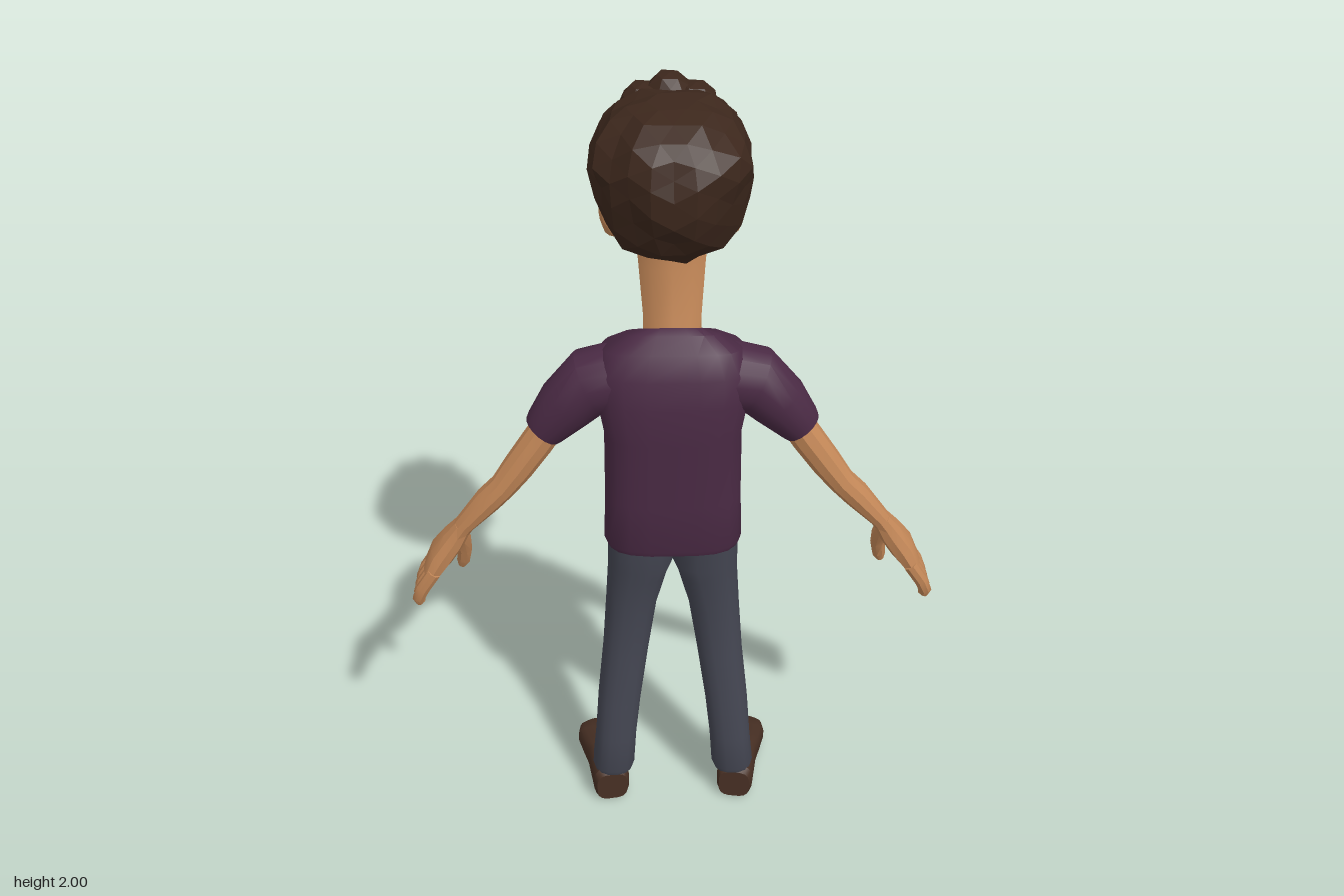
import * as THREE from 'three';
import { toCreasedNormals } from 'three/addons/utils/BufferGeometryUtils.js';

const mat = (name, color) => {
  const m = new THREE.MeshStandardMaterial({ color });
  m.name = name;
  return m;
};

// Skin over rounded sections; rows are [x, y, z, halfU, halfV, tilt].
// follow = true turns the sections to follow the path in the xy plane.
function loft(rows, { sides = 12, power = 2, follow = false, crease = 0.7 } = {}) {
  const pos = [], idx = [], n = rows.length;
  const curve = v => Math.sign(v) * Math.pow(Math.abs(v), 2 / power);
  rows.forEach(([x, y, z, a, b, tilt = 0], i) => {
    const p = rows[Math.max(i - 1, 0)], q = rows[Math.min(i + 1, n - 1)];
    let tx = 0, ty = 1;
    if (follow) {
      const len = Math.hypot(q[0] - p[0], q[1] - p[1]);
      tx = (q[0] - p[0]) / len;
      ty = (q[1] - p[1]) / len;
    }
    for (let j = 0; j < sides; j++) {
      const ang = ((j + 0.5) / sides) * Math.PI * 2;
      const u = a * curve(Math.cos(ang)), v = b * curve(Math.sin(ang));
      pos.push(x + u * ty, y - u * tx + v * tilt, z + v);
    }
  });
  for (let i = 0; i < n - 1; i++) for (let j = 0; j < sides; j++) {
    const k = (j + 1) % sides, a = i * sides + j, b = i * sides + k;
    idx.push(a, a + sides, b, b, a + sides, b + sides);
  }
  const s = n * sides, last = (n - 1) * sides;
  pos.push(...rows[0].slice(0, 3), ...rows[n - 1].slice(0, 3));
  for (let j = 0; j < sides; j++) {
    const k = (j + 1) % sides;
    idx.push(s, j, k, s + 1, last + k, last + j);
  }
  const g = new THREE.BufferGeometry();
  g.setAttribute('position', new THREE.Float32BufferAttribute(pos, 3));
  g.setIndex(idx);
  return toCreasedNormals(g, crease);
}

// Faceted lump with a repeatable roughness
function lump(detail, rough, shape) {
  const g = new THREE.IcosahedronGeometry(1, detail);
  const p = g.attributes.position, d = new THREE.Vector3();
  for (let i = 0; i < p.count; i++) {
    d.fromBufferAttribute(p, i).normalize();
    const k = 1 + rough * Math.sin(d.x * 11 + d.y * 7) * Math.sin(d.y * 9 - d.z * 12 + 1);
    shape(d, k);
    p.setXYZ(i, d.x, d.y, d.z);
  }
  g.computeVertexNormals();
  return g;
}

// Lower edge of the hair: fringe, temple, then nape behind the ear
function hairline(z) {
  const pts = [[-1, 1.87], [-0.1, 1.87], [0.02, 1.78], [0.08, 1.62], [1, 1.62]];
  for (let i = 1; i < pts.length; i++) {
    const [z0, y0] = pts[i - 1], [z1, y1] = pts[i];
    if (z <= z1) return y0 + ((y1 - y0) * (z - z0)) / (z1 - z0);
  }
  return 1.62;
}

export function createModel() {
  const skin = mat('skin', 0xc48858), shirt = mat('shirt purple', 0x4a2a44);
  const denim = mat('trouser grey', 0x444652), leather = mat('shoe brown', 0x483024);
  const hairMat = mat('hair brown', 0x3c271c), white = mat('eye white', 0xdcdcdc);
  const lip = mat('mouth dark', 0x54301f);

  const model = new THREE.Group();
  model.name = 'standingMan';
  const add = (parent, name, geo, material) => {
    const m = new THREE.Mesh(geo, material);
    m.name = name;
    parent.add(m);
    return m;
  };

  // Shirt body with a neckline that drops at the front
  add(model, 'shirtBody', loft([
    [0, 0.87, 0.094, 0.168, 0.114], [0, 0.885, 0.094, 0.175, 0.119], [0, 1.02, 0.095, 0.17, 0.119],
    [0, 1.2, 0.096, 0.168, 0.121], [0, 1.3, 0.096, 0.185, 0.122], [0, 1.37, 0.092, 0.19, 0.11],
    [0, 1.41, 0.085, 0.165, 0.095, 0.2], [0, 1.435, 0.072, 0.115, 0.078, 0.4],
    [0, 1.437, 0.062, 0.082, 0.066, 0.6],
  ], { sides: 20, power: 3.4 }), shirt);

  // Neck and long head
  add(model, 'neck', loft([
    [0, 1.36, 0.075, 0.075, 0.07], [0, 1.48, 0.06, 0.072, 0.06], [0, 1.6, 0.028, 0.082, 0.062],
    [0, 1.7, 0.02, 0.09, 0.07],
  ], { sides: 10 }), skin);
  add(model, 'head', loft([
    [0, 1.5, -0.095, 0.042, 0.045], [0, 1.525, -0.085, 0.058, 0.066], [0, 1.575, -0.06, 0.075, 0.094],
    [0, 1.605, -0.055, 0.085, 0.112], [0, 1.65, -0.035, 0.098, 0.118], [0, 1.72, -0.01, 0.115, 0.138],
    [0, 1.79, -0.005, 0.115, 0.138], [0, 1.835, -0.005, 0.12, 0.155], [0, 1.9, 0, 0.115, 0.145],
    [0, 1.94, 0.01, 0.08, 0.1],
  ], { sides: 14, power: 2.4, crease: 0.35 }), skin);
  add(model, 'nose', loft([
    [0, 1.652, -0.185, 0.026, 0.046], [0, 1.668, -0.183, 0.026, 0.046],
    [0, 1.72, -0.165, 0.022, 0.036], [0, 1.81, -0.142, 0.016, 0.014],
  ], { sides: 8, power: 3, crease: 0.3 }), skin);

  // Hair cap and curls along the fringe
  add(model, 'hair', lump(3, 0.06, (d, k) => {
    const e = d.y > 0 ? 2.5 : 2.1;
    const r = k / Math.pow(Math.abs(d.x) ** e + Math.abs(d.y) ** e + Math.abs(d.z) ** e, 1 / e);
    d.set(d.x * r * 0.182, 1.83 + d.y * r * (d.y > 0 ? 0.16 : 0.21), 0.03 + d.z * r * 0.195);
    d.y = Math.max(d.y, hairline(d.z));
  }), hairMat);
  [[0, 1.945, -0.125, 0.055], [0.06, 1.925, -0.115, 0.055], [-0.06, 1.925, -0.115, 0.055],
    [0.11, 1.89, -0.07, 0.052], [-0.11, 1.89, -0.07, 0.052], [0.13, 1.83, -0.015, 0.042],
    [-0.13, 1.83, -0.015, 0.042]].forEach(([x, y, z, r]) => {
    add(model, 'curl', lump(1, 0.12, (d, k) => d.multiplyScalar(r * k)), hairMat).position.set(x, y, z);
  });

  for (const side of [1, -1]) {
    const half = new THREE.Group();
    half.name = side > 0 ? 'leftSide' : 'rightSide';
    half.scale.x = side;
    model.add(half);

    // Face details
    add(half, 'eye', new THREE.SphereGeometry(0.034, 20, 14), white).position.set(0.066, 1.77, -0.126);
    const brow = add(half, 'brow', new THREE.BoxGeometry(0.07, 0.018, 0.03), skin);
    brow.position.set(0.062, 1.822, -0.137);
    brow.rotation.set(0, -0.35, -0.12);
    const mouth = add(half, 'mouth', new THREE.BoxGeometry(0.034, 0.007, 0.009), lip);
    mouth.position.set(0.016, 1.6, -0.163);
    mouth.rotation.set(0, -0.14, -0.2);
    const ear = add(half, 'ear', lump(2, 0.06, (d, k) => d.multiplyScalar(k)), skin);
    ear.scale.set(0.024, 0.055, 0.036);
    ear.position.set(0.14, 1.715, 0.02);
    ear.rotation.set(0.15, 0.3, -0.2);

    // Sleeve and arm
    add(half, 'sleeve', loft([
      [0.11, 1.335, 0.1, 0.09, 0.09], [0.2, 1.325, 0.112, 0.085, 0.08], [0.255, 1.27, 0.12, 0.073, 0.064],
      [0.305, 1.21, 0.12, 0.056, 0.051], [0.316, 1.197, 0.12, 0.05, 0.047],
    ], { sides: 16, follow: true }), shirt);
    add(half, 'arm', loft([
      [0.28, 1.24, 0.12, 0.04, 0.042], [0.33, 1.165, 0.122, 0.041, 0.042], [0.38, 1.095, 0.127, 0.039, 0.04],
      [0.42, 1.04, 0.128, 0.034, 0.038], [0.46, 0.997, 0.125, 0.034, 0.04], [0.525, 0.92, 0.12, 0.025, 0.033],
      [0.545, 0.89, 0.115, 0.025, 0.036],
    ], { sides: 10, follow: true, crease: 0.4 }), skin);

    // Hand: palm, four fingers and thumb
    add(half, 'palm', loft([
      [0.53, 0.915, 0.118, 0.023, 0.032], [0.557, 0.87, 0.106, 0.03, 0.046], [0.592, 0.82, 0.1, 0.032, 0.059],
      [0.622, 0.77, 0.1, 0.023, 0.062],
    ], { sides: 10, power: 2.6, follow: true, crease: 0.4 }), skin);
    for (let i = 0; i < 4; i++) {
      const z = 0.055 + i * 0.031, drop = [0.008, 0, 0, 0.018][i];
      add(half, 'finger', loft([
        [0.612, 0.785, z, 0.018, 0.017], [0.645, 0.735, z, 0.018, 0.016],
        [0.66, 0.7, z - 0.003, 0.016, 0.015], [0.658, 0.664 + drop, z - 0.006, 0.009, 0.009],
      ], { sides: 8, follow: true }), skin);
    }
    add(half, 'thumb', loft([
      [0.548, 0.885, 0.09, 0.02, 0.026], [0.545, 0.83, 0.062, 0.024, 0.026], [0.543, 0.78, 0.042, 0.02, 0.02],
      [0.55, 0.74, 0.033, 0.018, 0.017], [0.556, 0.718, 0.03, 0.009, 0.009],
    ], { sides: 8, follow: true }), skin);

    // Trouser leg
    add(half, 'trouserLeg', loft([
      [0.167, 0.095, 0.135, 0.054, 0.06], [0.166, 0.11, 0.135, 0.058, 0.065], [0.157, 0.22, 0.135, 0.056, 0.06],
      [0.146, 0.34, 0.125, 0.058, 0.062], [0.126, 0.5, 0.102, 0.061, 0.068], [0.109, 0.65, 0.09, 0.067, 0.08],
      [0.091, 0.76, 0.092, 0.078, 0.09], [0.083, 0.8, 0.095, 0.085, 0.094], [0.083, 0.9, 0.098, 0.083, 0.1],
    ], { sides: 16, power: 2.5 }), denim);

    // Shoe, shaped heel to toe and turned out
    const shoe = loft([
      [0, -0.195, 0.048, 0.043, 0.046], [0, -0.18, 0.054, 0.05, 0.054], [0, -0.08, 0.055, 0.053, 0.055],
      [0, -0.03, 0.045, 0.06, 0.045], [0.002, 0.03, 0.036, 0.066, 0.036], [0.002, 0.07, 0.03, 0.056, 0.03],
      [0, 0.092, 0.024, 0.034, 0.02],
    ], { sides: 16, power: 3.2, crease: 0.6 });
    shoe.rotateX(-Math.PI / 2);
    shoe.rotateY(-0.15);
    add(half, 'shoe', shoe, leather).position.x = 0.2;
  }
  return model;
}
